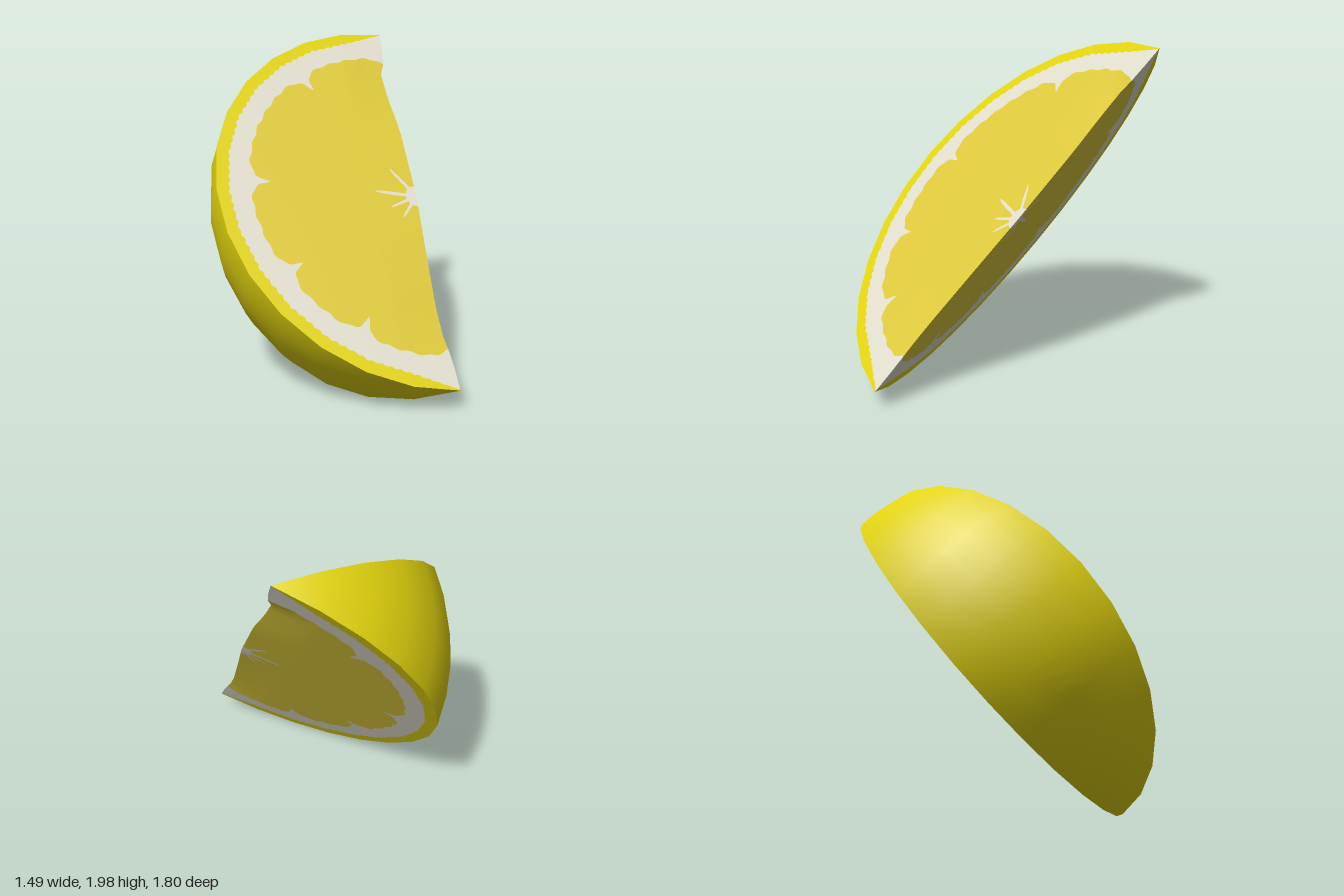
import * as THREE from 'three';

const R = 1.26, SIDES = 14, STEPS = 252;
const RAD = Math.PI / 180;
const UPPER = 21 * RAD, LOWER = -23 * RAD;   // tilt of the two cut faces
const MEMBRANES = [36, 86, 120, 150];        // angles between the pulp segments
const SPOKES = [[36, 0.17], [84, 0.2], [114, 0.13], [143, 0.12]];

const material = (name, color) => {
  const m = new THREE.MeshStandardMaterial({ color });
  m.name = name;
  return m;
};

// Radius of each colour boundary at angle a (degrees, 0 to 180 along the cut)
const bump = (x, w) => Math.exp(-((x / w) ** 2));

function coreEdge(a) {
  return SPOKES.reduce((r, [s, len]) => r + len * bump(a - s, 4.5), 0.07);
}

function pulpEdge(a) {
  let r = 1.055 + 0.006 * Math.sin(a * 0.9) - 0.04 * (bump(a, 4) + bump(a - 180, 4));
  for (const m of MEMBRANES) r -= 0.045 * bump(a - m, 4) + 0.085 * bump(a - m, 1);
  return r;
}

function outerEdge(a) {
  const step = 180 / SIDES;
  const local = (a % step) - step / 2;
  return R * Math.cos(step / 2 * RAD) / Math.cos(local * RAD);
}

function pithEdge(a) {
  const end = Math.min(a, 180 - a);
  const thickness = 0.075 * Math.min(1, 0.1 + end / 14);
  return outerEdge(a) - thickness + 0.006 * Math.sin(a * 2.3) * Math.min(1, end / 14);
}

// Slight hollows along the sharp inner edge: [position, depth]
const HOLLOWS = [[-1.3, 0], [-1.05, 0.01], [-0.95, 0.03], [-0.75, 0.035], [-0.4, 0.02], [0, 0],
  [0.5, 0.01], [0.75, 0.04], [0.97, 0.05], [1.03, 0.01], [1.3, 0]];

function hollow(y) {
  for (let i = 1; i < HOLLOWS.length; i++) {
    const [y0, d0] = HOLLOWS[i - 1], [y1, d1] = HOLLOWS[i];
    if (y <= y1) return d0 + (d1 - d0) * (y - y0) / (y1 - y0);
  }
  return 0;
}

// Half ring on a cut face between two radius rules
function halfRing(inner, outer, tilt, rings) {
  const pos = [], index = [], row = rings + 1;
  for (let i = 0; i <= STEPS; i++) {
    const a = 180 * i / STEPS, s = Math.sin(a * RAD), c = Math.cos(a * RAD);
    for (let j = 0; j <= rings; j++) {
      const r = THREE.MathUtils.lerp(inner(a), outer(a), j / rings);
      const v = r * s, y = r * c;
      const dent = hollow(y) * Math.max(0, 1 - v / 0.3);
      pos.push(-v * Math.cos(tilt) - dent, y, v * Math.sin(tilt));
      if (i < STEPS && j < rings) {
        const p = i * row + j, q = p + row;
        if (tilt > 0) index.push(p, p + 1, q, q, p + 1, q + 1);
        else index.push(p, q, p + 1, q, q + 1, p + 1);
      }
    }
  }
  const geo = new THREE.BufferGeometry();
  geo.setAttribute('position', new THREE.Float32BufferAttribute(pos, 3));
  geo.setIndex(index);
  geo.computeVertexNormals();
  return geo;
}

export function createModel() {
  const peel = material('yellow peel', 0xe4d50e);
  const pith = material('cream pith', 0xe3e0d0);
  const pulp = material('lemon pulp', 0xe0cb3c);

  const model = new THREE.Group();
  model.name = 'lemonWedge';
  const wedge = new THREE.Group();
  wedge.name = 'wedge';
  model.add(wedge);

  const add = (name, geo, mat, parent) => {
    const mesh = new THREE.Mesh(geo, mat);
    mesh.name = name;
    parent.add(mesh);
  };

  // Rounded outer rind
  add('rind', new THREE.SphereGeometry(R, 5, SIDES, LOWER, UPPER - LOWER), peel, wedge);

  // Two cut faces, each made of core, pulp, pith and peel rim
  for (const [name, tilt] of [['upperCut', UPPER], ['lowerCut', LOWER]]) {
    const face = new THREE.Group();
    face.name = name;
    add('core', halfRing(() => 0, coreEdge, tilt, 2), pith, face);
    add('pulp', halfRing(coreEdge, pulpEdge, tilt, 12), pulp, face);
    add('pith', halfRing(pulpEdge, pithEdge, tilt, 2), pith, face);
    add('peelRim', halfRing(pithEdge, outerEdge, tilt, 1), peel, face);
    wedge.add(face);
  }

  // Tilt the wedge so its sharp edge runs from upper back to lower front
  const top = new THREE.Vector3(0.26, 1.98, -0.86);
  const bottom = new THREE.Vector3(0.73, 0.14, 0.78);
  const y = top.clone().sub(bottom).normalize();
  const x = new THREE.Vector3(1, 0, 0).addScaledVector(y, -y.x).normalize();
  const z = x.clone().cross(y);
  wedge.quaternion.setFromRotationMatrix(new THREE.Matrix4().makeBasis(x, y, z));
  wedge.position.copy(top).add(bottom).multiplyScalar(0.5);
  return model;
}
